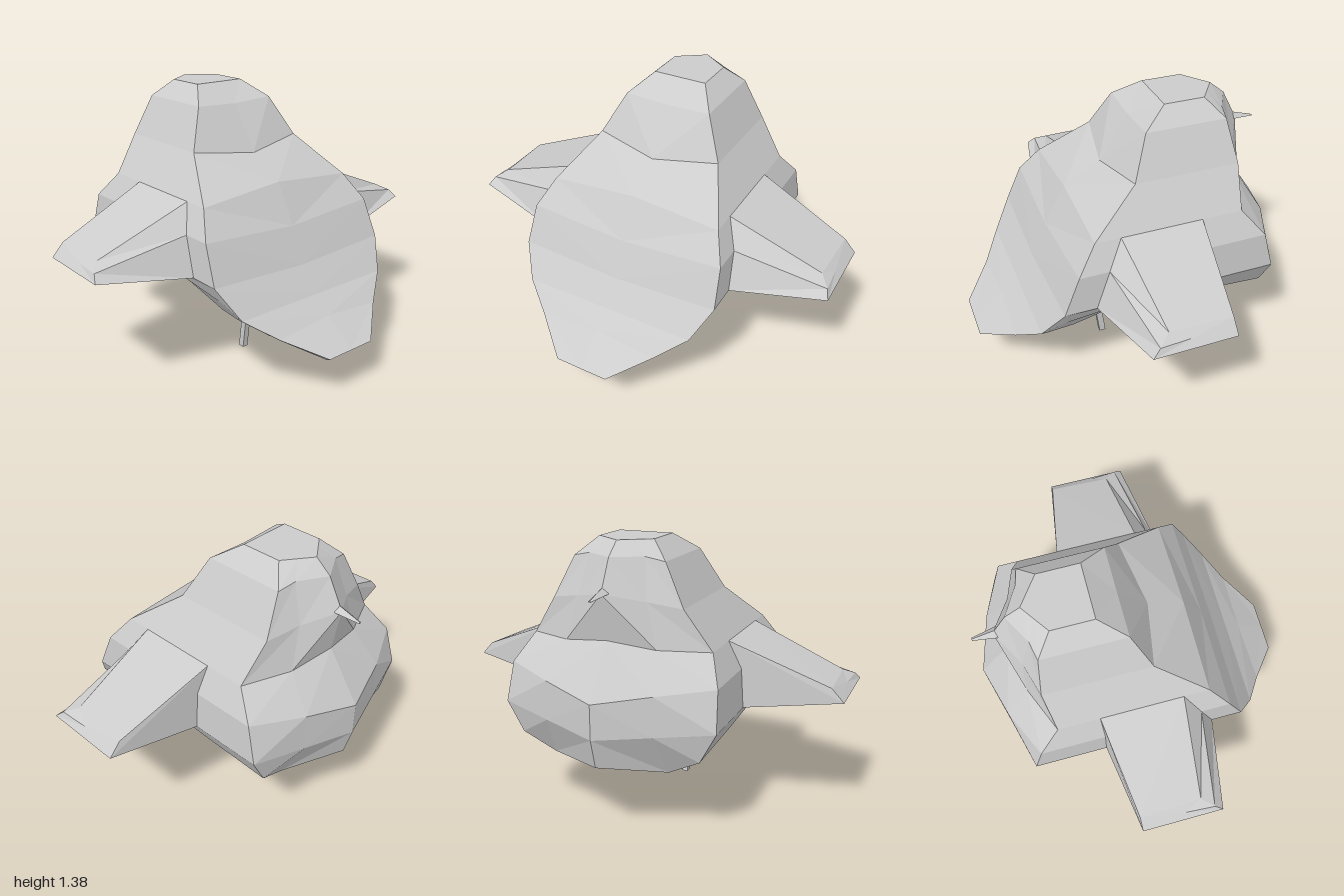
import * as THREE from 'three';
import { mergeGeometries } from 'three/addons/utils/BufferGeometryUtils.js';

const material = new THREE.MeshStandardMaterial({ color: 0xcccccc, flatShading: true, side: THREE.DoubleSide });

// Facet a grid of points (rows of equal length); mirrored copies flip x and winding
function sheet(rows, mirror = false) {
  const s = mirror ? -1 : 1, pos = [];
  const tri = (a, b, c) => {
    for (const p of mirror ? [a, c, b] : [a, b, c]) pos.push(s * p[0], p[1], p[2]);
  };
  for (let r = 0; r < rows.length - 1; r++) {
    for (let c = 0; c < rows[r].length - 1; c++) {
      const a = rows[r][c], b = rows[r + 1][c], d = rows[r][c + 1], e = rows[r + 1][c + 1];
      tri(a, b, d);
      tri(b, e, d);
    }
  }
  const g = new THREE.BufferGeometry();
  g.setAttribute('position', new THREE.Float32BufferAttribute(pos, 3));
  g.computeVertexNormals();
  return g;
}

// Closed loft between two matching outlines, with both ends capped
function loft(from, to, mirror) {
  const centre = (ring) => [0, 1, 2].map((i) => ring.reduce((t, p) => t + p[i], 0) / ring.length);
  const cap = (ring) => ring.map(() => centre(ring));
  const closed = [cap(from), from, to, cap(to)].map((ring) => [...ring, ring[0]]);
  return sheet(closed, mirror);
}

function addMesh(parent, name, geometry) {
  const m = new THREE.Mesh(geometry, material);
  m.name = name;
  parent.add(m);
}

export function createModel() {
  const model = new THREE.Group();
  model.name = 'bird';

  // Upper body, each level: back centre, back side, front side, front middle, front centre
  const upper = [
    [[0, 1.375, -0.2], [0, 1.375, -0.2], [0, 1.375, -0.41], [0, 1.375, -0.46], [0, 1.375, -0.51]],
    [[0, 1.375, -0.2], [0.14, 1.375, -0.2], [0.14, 1.375, -0.41], [0.07, 1.375, -0.46], [0, 1.375, -0.51]],
    [[0, 1.28, -0.07], [0.23, 1.29, -0.07], [0.23, 1.29, -0.49], [0.14, 1.31, -0.51], [0, 1.31, -0.59]],
    [[0, 1.05, 0.08], [0.33, 1.09, 0.02], [0.33, 1.09, -0.52], [0.17, 1.12, -0.57], [0, 1.16, -0.67]],
    [[0, 0.94, 0.27], [0.46, 0.9, 0.27], [0.46, 0.9, -0.49], [0.23, 0.91, -0.59], [0, 0.94, -0.63]],
    [[0, 0.74, 0.38], [0.525, 0.77, 0.37], [0.525, 0.77, -0.6], [0.27, 0.74, -0.72], [0, 0.69, -0.8]],
    [[0, 0.56, 0.46], [0.54, 0.58, 0.45], [0.54, 0.58, -0.65], [0.27, 0.55, -0.725], [0, 0.52, -0.8]],
  ];

  // Upper face of the tail, running down from the back
  const tailTop = [
    [[0, 0.56, 0.46], [0.54, 0.58, 0.45]],
    [[0, 0.43, 0.55], [0.46, 0.43, 0.55]],
    [[0, 0.35, 0.64], [0.32, 0.33, 0.65]],
    [[0, 0.23, 0.8], [0.14, 0.23, 0.8]],
  ];

  // Belly and tail underside, front to back: side, flank, lower edge, centre line
  const under = [
    [[0.54, 0.58, -0.65], [0.54, 0.58, -0.65], [0.27, 0.55, -0.725], [0, 0.52, -0.8]],
    [[0.54, 0.58, -0.65], [0.46, 0.43, -0.64], [0.3, 0.34, -0.61], [0, 0.37, -0.76]],
    [[0.54, 0.58, -0.3], [0.48, 0.47, -0.3], [0.36, 0.4, -0.35], [0, 0.24, -0.37]],
    [[0.54, 0.58, 0.12], [0.52, 0.55, 0.12], [0.48, 0.52, 0.12], [0, 0.43, 0.17]],
    [[0.54, 0.58, 0.45], [0.5, 0.5, 0.44], [0.44, 0.42, 0.38], [0, 0.4, 0.36]],
    [[0.46, 0.43, 0.55], [0.45, 0.42, 0.52], [0.38, 0.37, 0.46], [0, 0.35, 0.45]],
    [[0.32, 0.33, 0.65], [0.31, 0.32, 0.63], [0.27, 0.29, 0.6], [0, 0.28, 0.6]],
    [[0.14, 0.23, 0.8], [0.14, 0.22, 0.78], [0.12, 0.21, 0.76], [0, 0.21, 0.75]],
    [[0.14, 0.23, 0.8], [0.14, 0.23, 0.8], [0.12, 0.23, 0.8], [0, 0.23, 0.8]],
  ];
  const bodySheets = [];
  for (const mirror of [false, true]) {
    for (const rows of [upper, tailTop, under]) bodySheets.push(sheet(rows, mirror));
  }
  addMesh(model, 'body', mergeGeometries(bodySheets));

  // Wing outlines at the body and at the tip
  const wingRoot = [[0.46, 0.9, -0.28], [0.46, 0.9, 0.14], [0.525, 0.77, 0.22], [0.54, 0.58, 0.29], [0.54, 0.58, -0.28]];
  const wingTip = [[0.94, 0.71, -0.21], [0.93, 0.71, 0.1], [0.98, 0.68, 0.16], [1, 0.645, 0.2], [1, 0.645, -0.21]];

  // Square legs that slope forward to the ground
  const legRing = (y, z) => [[0.08, y, z - 0.017], [0.08, y, z + 0.017], [0.11, y, z + 0.017], [0.11, y, z - 0.017]];

  for (const [side, mirror] of [['left', false], ['right', true]]) {
    addMesh(model, side + 'Wing', loft(wingRoot, wingTip, mirror));
    addMesh(model, side + 'Leg', loft(legRing(0.47, 0.175), legRing(0, 0.112), mirror));
  }

  // Small pointed beak
  const beakRoot = [[0, 1.19, -0.64], [0.03, 1.16, -0.65], [0, 1.15, -0.66], [-0.03, 1.16, -0.65]];
  const beakTip = [[0, 1.15, -0.77], [0.008, 1.147, -0.77], [0, 1.142, -0.77], [-0.008, 1.147, -0.77]];
  addMesh(model, 'beak', loft(beakRoot, beakTip));

  return model;
}
